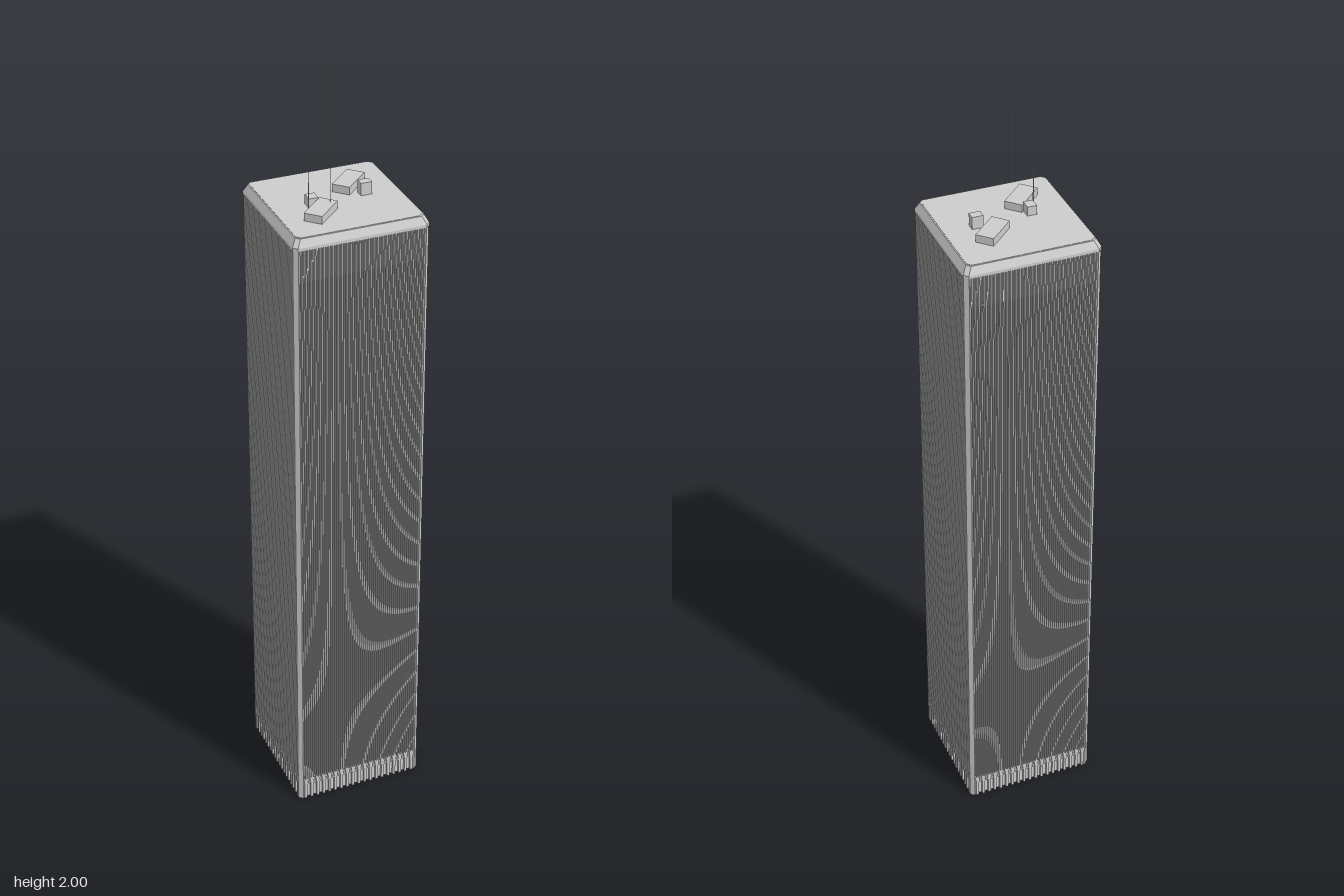
import * as THREE from 'three';
import { mergeGeometries } from 'three/addons/utils/BufferGeometryUtils.js';

const material = new THREE.MeshStandardMaterial({ color: 0xcccccc, flatShading: true });
const HALF = 0.17, WALL = 0.163, CUT = 0.01;
const BASE_TOP = 0.085, SHAFT_TOP = 1.625, ROOF = 1.65;
const BAYS = 19, BAY = 2 * (HALF - CUT) / BAYS, PITCH = BAY / 3, RIB = PITCH * 0.55;

function add(parent, name, geometry, x = 0, y = 0, z = 0) {
  const mesh = new THREE.Mesh(geometry, material);
  mesh.name = name;
  mesh.position.set(x, y, z);
  parent.add(mesh);
  return mesh;
}

// Square block with cut corners; the top can be drawn in to topHalf
function cutBlock(half, y0, y1, topHalf = half) {
  const c = half - CUT;
  const shape = new THREE.Shape([
    [half, -c], [half, c], [c, half], [-c, half],
    [-half, c], [-half, -c], [-c, -half], [c, -half],
  ].map(([x, y]) => new THREE.Vector2(x, y)));
  const g = new THREE.ExtrudeGeometry(shape, { depth: y1 - y0, bevelEnabled: false });
  g.rotateX(-Math.PI / 2);
  const p = g.attributes.position, k = topHalf / half;
  for (let i = 0; i < p.count; i++) {
    const s = p.getY(i) > (y1 - y0) / 2 ? k : 1;
    p.setXYZ(i, p.getX(i) * s, p.getY(i) + y0, p.getZ(i) * s);
  }
  g.computeVertexNormals();
  return g;
}

// One wide ground column that splits into three ribs
function forkedColumn() {
  const s = 0.0035, r = RIB / 2, o = PITCH;
  const right = [
    [s, 0], [s, 0.045], [o + r, 0.066], [o + r, BASE_TOP],
    [o - r, BASE_TOP], [o - r, 0.068], [r, 0.062], [r, BASE_TOP],
  ];
  const left = right.map(([x, y]) => [-x, y]).reverse();
  const shape = new THREE.Shape([...right, ...left].map(([x, y]) => new THREE.Vector2(x, y)));
  return new THREE.ExtrudeGeometry(shape, { depth: HALF - WALL + 0.001, bevelEnabled: false });
}

function createFacade() {
  const facade = new THREE.Group();
  const ribs = [], forks = [];
  const depth = HALF - WALL + 0.001, z = HALF - depth / 2;
  for (let i = 0; i < BAYS * 3; i++) {
    const rib = new THREE.BoxGeometry(RIB, SHAFT_TOP - BASE_TOP, depth);
    ribs.push(rib.translate((i - (BAYS * 3 - 1) / 2) * PITCH, (SHAFT_TOP + BASE_TOP) / 2, z));
  }
  for (let i = 0; i < BAYS; i++) {
    forks.push(forkedColumn().translate((i - (BAYS - 1) / 2) * BAY, 0, HALF - depth));
  }
  add(facade, 'facadeRibs', mergeGeometries(ribs));
  add(facade, 'forkedColumns', mergeGeometries(forks));
  // Horizontal bands over the lobby and on the upper service floors
  const width = 2 * (HALF - CUT);
  add(facade, 'lobbyBand', new THREE.BoxGeometry(width, 0.005, 0.005), 0, 0.045, WALL + 0.002);
  add(facade, 'serviceFloorBand', new THREE.BoxGeometry(width, 0.08, 0.004), 0, 1.58, WALL + 0.002);
  return facade;
}

export function createModel() {
  const tower = new THREE.Group();
  tower.name = 'officeTower';

  add(tower, 'core', cutBlock(WALL, 0, SHAFT_TOP));
  for (let i = 0; i < 4; i++) {
    const facade = createFacade();
    facade.name = ['frontFacade', 'leftFacade', 'backFacade', 'rightFacade'][i];
    facade.rotation.y = i * Math.PI / 2;
    tower.add(facade);

    // Smooth pier on each cut corner
    const pier = add(tower, 'cornerPier', new THREE.BoxGeometry(CUT * 1.41, SHAFT_TOP, 0.008));
    const a = i * Math.PI / 2 + Math.PI / 4, d = (HALF - CUT / 2) * Math.SQRT2 - 0.004;
    pier.position.set(Math.sin(a) * d, SHAFT_TOP / 2, Math.cos(a) * d);
    pier.rotation.y = a;
  }

  // Crown: short upright rim, then a slope up to the flat roof
  add(tower, 'crownRim', cutBlock(0.171, SHAFT_TOP - 0.003, SHAFT_TOP + 0.005));
  add(tower, 'crownSlope', cutBlock(0.171, SHAFT_TOP + 0.005, ROOF - 0.001, 0.161));
  add(tower, 'roofDeck', cutBlock(0.158, ROOF - 0.002, ROOF));

  // Rooftop plant rooms, set diagonally
  for (const [x, z] of [[0.056, -0.052], [-0.062, 0.065]]) {
    const room = add(tower, 'plantRoom', new THREE.BoxGeometry(0.09, 0.02, 0.046), x, ROOF + 0.01, z);
    room.rotation.y = 0.77;
  }
  add(tower, 'liftHousing', new THREE.BoxGeometry(0.024, 0.024, 0.028), -0.063, ROOF + 0.012, 0.011);
  add(tower, 'stairHousing', new THREE.BoxGeometry(0.028, 0.032, 0.022), 0.077, ROOF + 0.016, -0.001);

  // Short mast and tall thin whip antenna
  add(tower, 'mast', new THREE.CylinderGeometry(0.0008, 0.0015, 0.13, 6), -0.078, ROOF + 0.065, 0.028);
  add(tower, 'whipAntenna', new THREE.CylinderGeometry(0.0003, 0.0005, 0.33, 6), -0.032, 1.835, 0.05);
  return tower;
}
